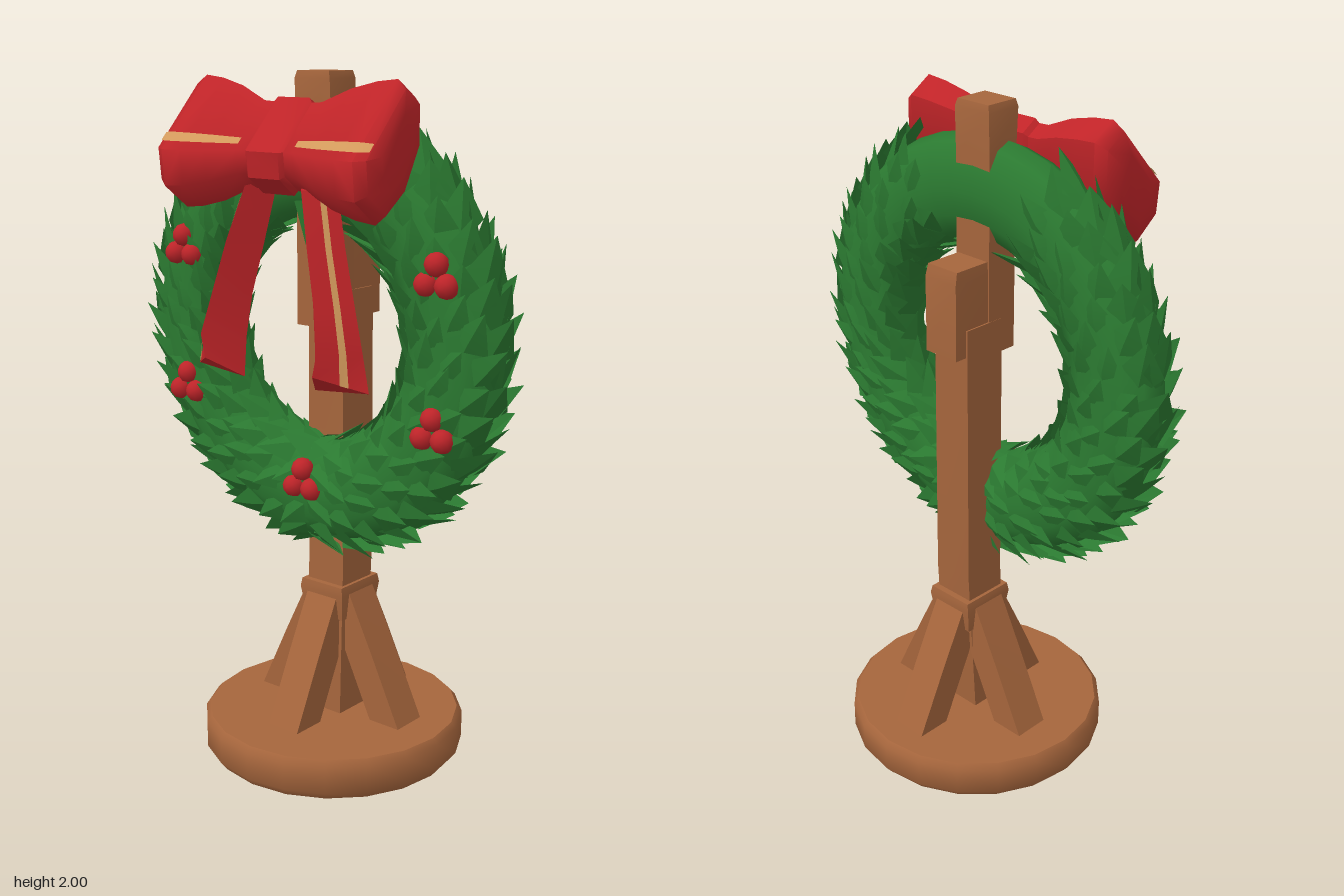
import * as THREE from 'three';
import { toCreasedNormals } from 'three/addons/utils/BufferGeometryUtils.js';

const paint = (name, color) => Object.assign(new THREE.MeshStandardMaterial({ color }), { name });

// Triangles (arrays of three Vector3) to a geometry with creased normals
function fromTriangles(tris, crease) {
  const g = new THREE.BufferGeometry().setFromPoints(tris.flat());
  g.computeVertexNormals();
  return toCreasedNormals(g, crease);
}

// Closed solid through equal-sized cross-sections, wound outwards whatever the ring order
function loft(rings, crease = 0.7) {
  const r = rings.map(ring => ring.map(p => new THREE.Vector3(...p)));
  const n = r[0].length, tris = [];
  for (let i = 0; i < r.length - 1; i++) {
    for (let j = 0; j < n; j++) {
      const k = (j + 1) % n;
      tris.push([r[i][j], r[i][k], r[i + 1][k]], [r[i][j], r[i + 1][k], r[i + 1][j]]);
    }
  }
  const last = r[r.length - 1];
  for (let j = 1; j < n - 1; j++) {
    tris.push([r[0][0], r[0][j + 1], r[0][j]], [last[0], last[j], last[j + 1]]);
  }
  const volume = tris.reduce((v, [a, b, c]) => v + a.dot(b.clone().cross(c)), 0);
  if (volume < 0) tris.forEach(t => t.reverse());
  return fromTriangles(tris, crease);
}

// Open strip between two paths of points
function strip(a, b) {
  const tris = [];
  for (let i = 0; i < a.length - 1; i++) tris.push([a[i], b[i], b[i + 1]], [a[i], b[i + 1], a[i + 1]]);
  return fromTriangles(tris, 0.7);
}

// Rectangle in the horizontal plane
const rect = (y, hx, z0, z1) => [[-hx, y, z0], [hx, y, z0], [hx, y, z1], [-hx, y, z1]];

export function createModel() {
  const model = new THREE.Group();
  const wood = paint('wood', 0xa5653c);
  const green = paint('leaf green', 0x2b7a31);
  const red = paint('ribbon red', 0xc02428);
  const gold = paint('ribbon gold', 0xd39a5c);
  const berryRed = paint('berry red', 0xbf2429);
  green.side = gold.side = THREE.DoubleSide;

  const add = (name, geometry, material, parent = model) => {
    const mesh = new THREE.Mesh(geometry, material);
    mesh.name = name;
    parent.add(mesh);
    return mesh;
  };
  const addGroup = name => {
    const g = new THREE.Group();
    g.name = name;
    model.add(g);
    return g;
  };

  // Stand: round base, leaning post, hook block and upright peg
  const profile = [[0, 0], [0.37, 0], [0.39, 0.025], [0.39, 0.105], [0.375, 0.122], [0, 0.122]];
  const disc = new THREE.LatheGeometry(profile.map(p => new THREE.Vector2(...p)), 20);
  add('base', toCreasedNormals(disc.toNonIndexed(), 0.8), wood);
  add('post', loft([rect(0.1, 0.065, 0.05, -0.07), rect(0.6, 0.065, 0.035, -0.1),
    rect(1.4, 0.063, 0.035, -0.1)]), wood);
  add('hookBlock', loft([rect(1.32, 0.058, 0.03, -0.138), rect(1.54, 0.058, 0.03, -0.138),
    rect(1.575, 0.055, 0.03, -0.13)]), wood);
  add('peg', loft([rect(1.3, 0.062, 0.085, -0.015), rect(1.85, 0.062, 0.085, -0.015),
    rect(1.98, 0.062, 0.092, -0.018), rect(2, 0.056, 0.088, -0.014)]), wood);
  add('collar', loft([rect(0.42, 0.07, 0.045, -0.105), rect(0.5, 0.08, 0.058, -0.118),
    rect(0.525, 0.075, 0.055, -0.115)]), wood);

  // Four sloping braces
  for (let i = 0; i < 4; i++) {
    const brace = add('brace', loft([rect(0.1, 0.055, 0.17, 0.275), rect(0.33, 0.055, 0.06, 0.165),
      rect(0.5, 0.055, 0, 0.08)]), wood);
    brace.position.z = -0.03;
    brace.rotation.y = i * Math.PI / 2;
  }

  // Wreath core: flattened ring
  const wreath = addGroup('wreath');
  wreath.position.set(0, 1.29, 0.057);
  const R = 0.465, RADIAL = 0.145, DEPTH = 0.073;
  const core = new THREE.TorusGeometry(R, RADIAL, 12, 40);
  core.scale(1, 1, 0.085 / RADIAL);
  add('wreathCore', core, green, wreath);

  // Overlapping folded leaves climbing both sides from the bottom
  let seed = 7;
  const jitter = a => {
    seed = (seed * 16807) % 2147483647;
    return (seed / 2147483647 - 0.5) * 2 * a;
  };
  const leaves = [];
  const addLeaf = (angle, phi, flow) => {
    const radial = new THREE.Vector3(Math.cos(angle), Math.sin(angle), 0);
    const tangent = new THREE.Vector3(-radial.y, radial.x, 0).multiplyScalar(flow);
    const c = Math.cos(phi), s = Math.sin(phi);
    const p = radial.clone().multiplyScalar(R + RADIAL * c).setZ(DEPTH * s);
    const n = radial.clone().multiplyScalar(c / RADIAL).setZ(s / DEPTH).normalize();
    const d = tangent.multiplyScalar(0.85).addScaledVector(radial, 0.5 + jitter(0.25));
    d.addScaledVector(n, -d.dot(n)).normalize();
    const side = n.clone().cross(d);
    const at = (u, v, w) => p.clone().addScaledVector(d, u).addScaledVector(side, v).addScaledVector(n, w);
    const root = at(-0.06, 0, -0.01), tip = at(0.1 + jitter(0.015), 0, 0.012 + 0.035 * Math.abs(c));
    const l = at(0.01, 0.06, -0.006), r = at(0.01, -0.06, -0.006), ridge = at(0.02, 0, 0.02);
    leaves.push([root, r, ridge], [r, tip, ridge], [tip, l, ridge], [l, root, ridge]);
  };
  for (const flow of [1, -1]) {
    for (let i = 0; i < 19; i++) {
      const angle = -Math.PI / 2 + flow * (0.03 + i * 0.143);
      for (let j = 0; j < 9; j++) {
        addLeaf(angle + jitter(0.03), (j + (i % 2) / 2) * Math.PI * 2 / 9 + jitter(0.1), flow);
      }
    }
  }
  add('leaves', fromTriangles(leaves, 0.5), green, wreath);
  // Leaf hanging under the bow
  add('hangingLeaf', fromTriangles([
    [new THREE.Vector3(-0.05, 0.38, 0.06), new THREE.Vector3(-0.02, 0.24, 0.04), new THREE.Vector3(0.05, 0.38, 0.06)],
  ], 0.5), green, wreath);

  // Berry clusters
  const berries = addGroup('berries');
  const berryShape = new THREE.IcosahedronGeometry(0.034, 1);
  for (const [x, y] of [[-0.455, 1.49], [0.455, 1.49], [-0.45, 1.08], [0.45, 1.08], [0, 0.86]]) {
    for (let i = 0; i < 3; i++) {
      const a = Math.PI / 2 + i * Math.PI * 2 / 3;
      add('berry', berryShape, berryRed, berries)
        .position.set(x + 0.038 * Math.cos(a), y + 0.036 * Math.sin(a), 0.138);
    }
  }

  // Bow: tilted cross-section (z, y) swept sideways
  const bow = addGroup('bow');
  const section = [[0.15, 1.985], [0.335, 1.79], [0.325, 1.69], [0.24, 1.625], [0.15, 1.69], [0.08, 1.82], [0.08, 1.94]];
  const CZ = 0.205, CY = 1.81;
  const slice = (x, s) => section.map(([z, y]) => [x, CY + (y - CY) * s, CZ + (z - CZ) * s]);
  const steps = [[0.04, 0.62], [0.1, 0.64], [0.19, 0.85], [0.27, 0.96], [0.335, 1], [0.365, 0.86], [0.378, 0.5]];
  add('knot', loft([slice(-0.068, 0.62), slice(-0.055, 0.7), slice(0.055, 0.7), slice(0.068, 0.62)]), red, bow);

  for (const m of [1, -1]) {
    add('bowLoop', loft(steps.map(([x, s]) => slice(m * x, s)), 0.9), red, bow);

    // Gold stripe near the front edge of the loop
    const line = t => steps.slice(1, 6).map(([x, s]) => {
      const [a, b] = slice(m * x, s);
      return new THREE.Vector3(...a).lerp(new THREE.Vector3(...b), t).add(new THREE.Vector3(0, 0.003, 0.003));
    });
    add('loopStripe', strip(line(0.78), line(0.9)), gold, bow);

    // Hanging tail: folded ribbon with a notched end; rows hold outer, ridge and inner corners
    const rows = [
      [[0.165, 1.69, 0.18], [0.1, 1.7, 0.255], [0.045, 1.72, 0.18]],
      [[0.205, 1.55, 0.2], [0.145, 1.55, 0.285], [0.075, 1.55, 0.205]],
      [[0.25, 1.4, 0.215], [0.185, 1.4, 0.305], [0.11, 1.4, 0.22]],
      [[0.285, 1.28, 0.225], [0.21, 1.29, 0.325], [0.125, 1.28, 0.23]],
      [[0.31, 1.18, 0.23], [0.195, 1.225, 0.325], [0.13, 1.165, 0.235]],
    ].map(row => row.map(([x, y, z]) => [m * x, y, z]));
    add('bowTail', loft(rows, 0.5), red, bow);
    const tailLine = t => rows.map(([a, b]) =>
      new THREE.Vector3(...a).lerp(new THREE.Vector3(...b), t).add(new THREE.Vector3(m * 0.003, 0, 0.003)));
    add('tailStripe', strip(tailLine(0.36), tailLine(0.52)), gold, bow);
  }
  return model;
}
